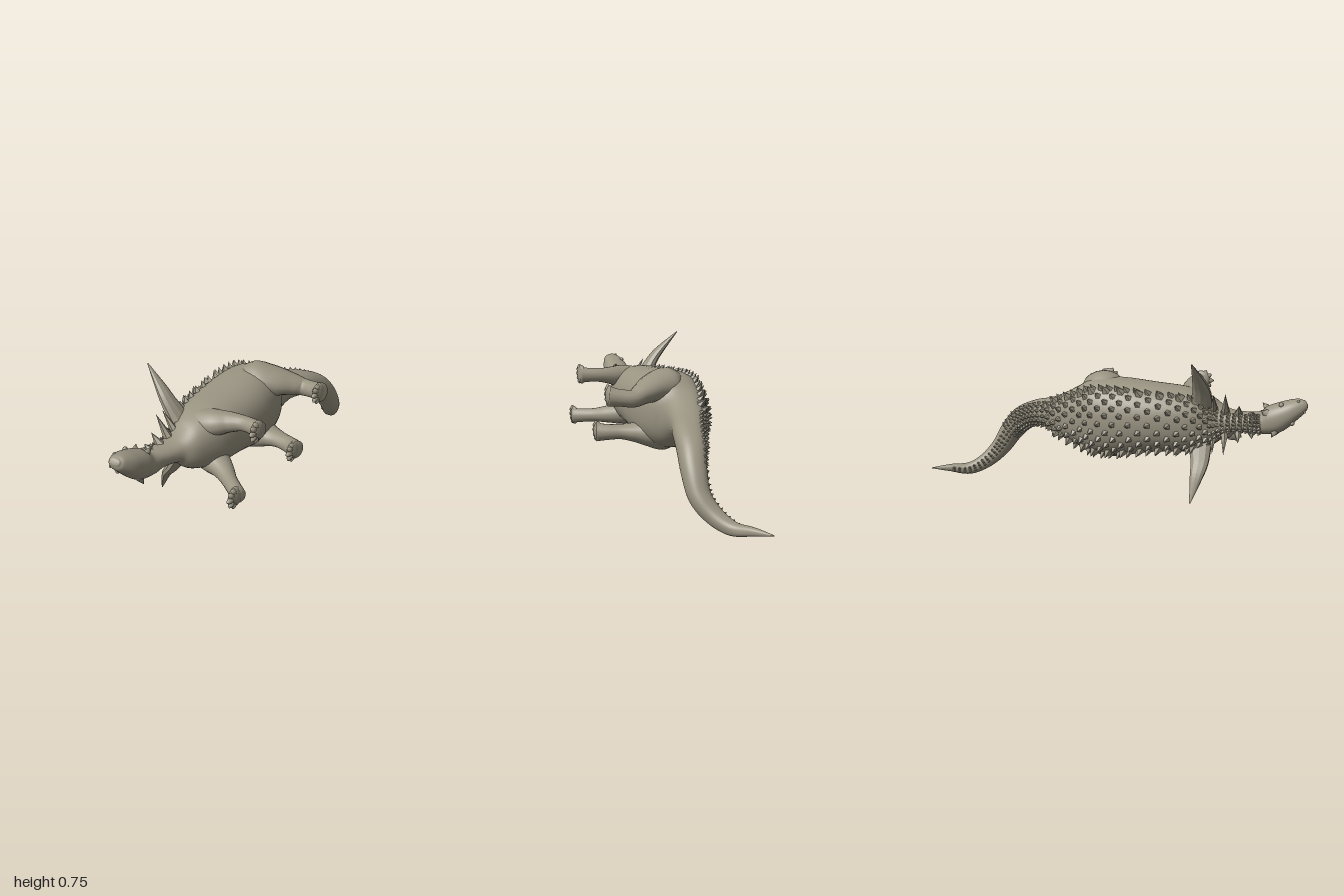
import * as THREE from 'three';
import { mergeGeometries } from 'three/addons/utils/BufferGeometryUtils.js';

const skin = new THREE.MeshStandardMaterial({ color: 0x9a9482 });
const horn = new THREE.MeshStandardMaterial({ color: 0x9a9482, flatShading: true });
const V = (x, y, z) => new THREE.Vector3(x, y, z);

// Swept limb or trunk. Each station: [x, y, z, half width, half depth].
// power < 1 makes the cross-section boxier.
function makeSweep(stations, ref, power = 1) {
  const path = new THREE.CatmullRomCurve3(stations.map(s => V(s[0], s[1], s[2])), false, 'catmullrom', 0.5);
  const size = new THREE.CatmullRomCurve3(stations.map(s => V(s[3], s[4], 0)), false, 'catmullrom', 0.5);
  const bend = c => Math.sign(c) * Math.pow(Math.abs(c), power);

  // Surface point and outward direction at t (0..1) and angle
  function at(t, angle) {
    const centre = path.getPoint(t), r = size.getPoint(t);
    const tangent = path.getTangent(t);
    const side = tangent.clone().cross(ref).normalize();
    const up = side.clone().cross(tangent);
    const out = side.multiplyScalar(bend(Math.cos(angle)) * Math.max(r.x, 0.001))
      .addScaledVector(up, bend(Math.sin(angle)) * Math.max(r.y, 0.001));
    return { point: centre.add(out), out: out.clone().normalize() };
  }

  function geometry(rings, sides) {
    const pos = [], index = [];
    for (let i = 0; i <= rings; i++) {
      for (let j = 0; j < sides; j++) pos.push(...at(i / rings, j / sides * Math.PI * 2).point.toArray());
    }
    for (let i = 0; i < rings; i++) {
      for (let j = 0; j < sides; j++) {
        const a = i * sides + j, b = i * sides + (j + 1) % sides;
        index.push(a, a + sides, b, b, a + sides, b + sides);
      }
    }
    // End caps
    const first = pos.length / 3, last = rings * sides;
    pos.push(...path.getPoint(0).toArray(), ...path.getPoint(1).toArray());
    for (let j = 0; j < sides; j++) {
      const k = (j + 1) % sides;
      index.push(first, j, k, first + 1, last + k, last + j);
    }
    const g = new THREE.BufferGeometry();
    g.setAttribute('position', new THREE.Float32BufferAttribute(pos, 3));
    g.setIndex(index);
    g.computeVertexNormals();
    return g;
  }
  return { at, geometry };
}

function add(parent, name, geometry, material = skin) {
  const mesh = new THREE.Mesh(geometry, material);
  mesh.name = name;
  parent.add(mesh);
  return mesh;
}

// Cone standing at a point along a direction
function coneAt(point, dir, radius, height, sides = 5) {
  const g = new THREE.ConeGeometry(radius, height, sides);
  g.translate(0, height * 0.35, 0);
  g.applyQuaternion(new THREE.Quaternion().setFromUnitVectors(V(0, 1, 0), dir.clone().normalize()));
  return g.translate(point.x, point.y, point.z);
}

// Head, neck, trunk and tail, snout first; the back faces -z
const BODY = [
  [-0.995, 0.55, -0.05, 0.012, 0.022], [-0.975, 0.537, -0.055, 0.035, 0.042],
  [-0.92, 0.505, -0.06, 0.055, 0.065], [-0.85, 0.462, -0.062, 0.07, 0.072],
  [-0.79, 0.438, -0.06, 0.055, 0.065], [-0.72, 0.435, -0.06, 0.048, 0.062],
  [-0.62, 0.43, -0.05, 0.06, 0.078], [-0.54, 0.42, -0.04, 0.12, 0.115],
  [-0.42, 0.42, -0.045, 0.16, 0.16], [-0.25, 0.422, -0.057, 0.175, 0.185],
  [-0.08, 0.415, -0.067, 0.198, 0.19], [0.06, 0.41, -0.08, 0.195, 0.168],
  [0.17, 0.405, -0.085, 0.145, 0.125], [0.3, 0.4, -0.055, 0.085, 0.093],
  [0.42, 0.38, -0.01, 0.068, 0.08], [0.52, 0.33, 0.02, 0.068, 0.07],
  [0.6, 0.25, 0.042, 0.062, 0.06], [0.67, 0.15, 0.042, 0.052, 0.052],
  [0.74, 0.075, 0.0, 0.042, 0.044], [0.82, 0.035, -0.055, 0.032, 0.034],
  [0.91, 0.045, -0.11, 0.02, 0.02], [1.0, 0.052, -0.165, 0.002, 0.002],
];

const LEGS = {
  upperHindLeg: [
    [0.02, 0.53, -0.14, 0.05, 0.06], [0.03, 0.545, -0.05, 0.093, 0.11], [0.07, 0.545, 0.04, 0.075, 0.1],
    [0.12, 0.53, 0.12, 0.055, 0.07], [0.15, 0.515, 0.18, 0.045, 0.048], [0.142, 0.522, 0.25, 0.044, 0.043],
    [0.128, 0.53, 0.302, 0.05, 0.045]],
  lowerHindLeg: [
    [-0.02, 0.29, -0.14, 0.05, 0.06], [-0.03, 0.28, -0.05, 0.093, 0.11], [-0.045, 0.285, 0.04, 0.075, 0.1],
    [-0.05, 0.29, 0.12, 0.05, 0.065], [-0.06, 0.295, 0.18, 0.04, 0.048], [-0.075, 0.295, 0.25, 0.042, 0.043],
    [-0.095, 0.295, 0.302, 0.05, 0.045]],
  upperFrontLeg: [
    [-0.45, 0.5, -0.08, 0.06, 0.07], [-0.43, 0.52, 0.04, 0.065, 0.075], [-0.4, 0.535, 0.12, 0.05, 0.055],
    [-0.385, 0.545, 0.2, 0.038, 0.038], [-0.4, 0.55, 0.302, 0.042, 0.036]],
  lowerFrontLeg: [
    [-0.42, 0.33, -0.08, 0.06, 0.07], [-0.43, 0.31, 0.04, 0.065, 0.075], [-0.46, 0.3, 0.12, 0.05, 0.055],
    [-0.51, 0.29, 0.2, 0.038, 0.038], [-0.575, 0.28, 0.302, 0.042, 0.036]],
};

export function createModel() {
  const model = new THREE.Group();
  model.name = 'armouredDinosaur';

  const body = makeSweep(BODY, V(0, 0, -1), 0.86);
  const last = BODY.length - 1;
  add(model, 'body', body.geometry(126, 36));

  // Legs with splayed toes
  for (const [name, stations] of Object.entries(LEGS)) {
    const leg = new THREE.Group();
    leg.name = name;
    model.add(leg);
    add(leg, 'limb', makeSweep(stations, V(1, 0, 0)).geometry(30, 18));
    const [x, y] = stations[stations.length - 1];
    const sole = add(leg, 'foot', new THREE.SphereGeometry(1, 16, 10));
    sole.scale.set(0.048, 0.052, 0.022);
    sole.position.set(x - 0.012, y, 0.29);
    const toes = [];
    for (let k = -2; k <= 2; k++) {
      const a = k * 0.55;
      const dir = V(-Math.cos(a), Math.sin(a), 0.06);
      const base = V(x - 0.01, y, 0.292).addScaledVector(dir, 0.03);
      const tip = base.clone().addScaledVector(dir, 0.038 - 0.004 * Math.abs(k));
      toes.push(makeSweep([
        [...base.toArray(), 0.014, 0.014],
        [...base.clone().lerp(tip, 0.6).toArray(), 0.013, 0.013],
        [...tip.toArray(), 0.003, 0.004]], V(0, 0, 1)).geometry(6, 8));
    }
    add(leg, 'toes', mergeGeometries(toes));
  }

  // Long shoulder spikes
  for (const [name, y0, y1, tipY, tipZ] of [
    ['upperShoulderSpike', 0.52, 0.655, 0.755, -0.312],
    ['lowerShoulderSpike', 0.31, 0.175, 0.055, -0.272]]) {
    add(model, name, makeSweep([
      [-0.495, y0, -0.115, 0.035, 0.06],
      [-0.505, y0 * 0.45 + y1 * 0.55, -0.165, 0.028, 0.046],
      [-0.5, y1, -0.215, 0.021, 0.033],
      [-0.483, tipY, tipZ, 0.002, 0.003]], V(1, 0, 0)).geometry(16, 10), horn);
  }

  // Neck spikes on both flanks
  const neck = [];
  for (const [x, reach, z] of [[-0.555, 0.15, -0.16], [-0.61, 0.155, -0.15], [-0.675, 0.095, -0.125], [-0.74, 0.07, -0.11]]) {
    for (const s of [-1, 1]) {
      const base = V(x, 0.432 + s * 0.035, -0.08), tip = V(x - 0.008, 0.432 + s * reach, z);
      const dir = tip.clone().sub(base);
      neck.push(coneAt(base.addScaledVector(dir, 0.15), dir, 0.026, dir.length(), 6));
    }
  }
  add(model, 'neckSpikes', mergeGeometries(neck), horn);

  // Rows of scutes along the back, thinning out towards the tail tip
  const scutes = [];
  for (let s = 4.2, n = 0; s < 20; s += 0.27, n++) {
    const trunk = s > 7 && s < 13;
    const rows = trunk ? 5 : s < 16 ? 3 : 1;
    const spread = trunk ? 0.175 : 0.3;
    for (let k = -rows; k <= rows; k++) {
      if (trunk && (n + k) % 2) continue;
      const { point, out } = body.at(s / last, Math.PI / 2 + k * spread);
      const big = trunk ? (Math.abs(k) === rows ? 1.5 : 1.1) : s > 15 ? 0.5 : 0.75;
      scutes.push(coneAt(point, out.add(V(0.35, 0, 0)), 0.017 * big, 0.028 * big));
    }
  }
  // Larger scutes edging the armour
  for (let s = 7.6; s < 13; s += 0.3) {
    for (const a of [0.62, Math.PI - 0.62]) {
      const { point, out } = body.at(s / last, a);
      scutes.push(coneAt(point, out.add(V(0.3, 0, 0)), 0.02, 0.04));
    }
  }
  add(model, 'scutes', mergeGeometries(scutes), horn);

  // Eyes, nostrils and cheek horns
  const face = [];
  for (const s of [-1, 1]) {
    const place = (t, a) => body.at(t / last, s > 0 ? a : Math.PI - a);
    for (const [t, a, r] of [[2.2, 0.55, 0.012], [1.1, 0.7, 0.007]]) {
      const p = place(t, a).point;
      face.push(new THREE.SphereGeometry(r, 10, 8).translate(p.x, p.y, p.z));
    }
    for (const a of [0.7, -0.3]) {
      const { point, out } = place(3.3, a);
      face.push(coneAt(point, out.add(V(0.6, 0, 0)), 0.02, 0.035, 6));
    }
  }
  add(model, 'faceDetails', mergeGeometries(face));

  return model;
}
